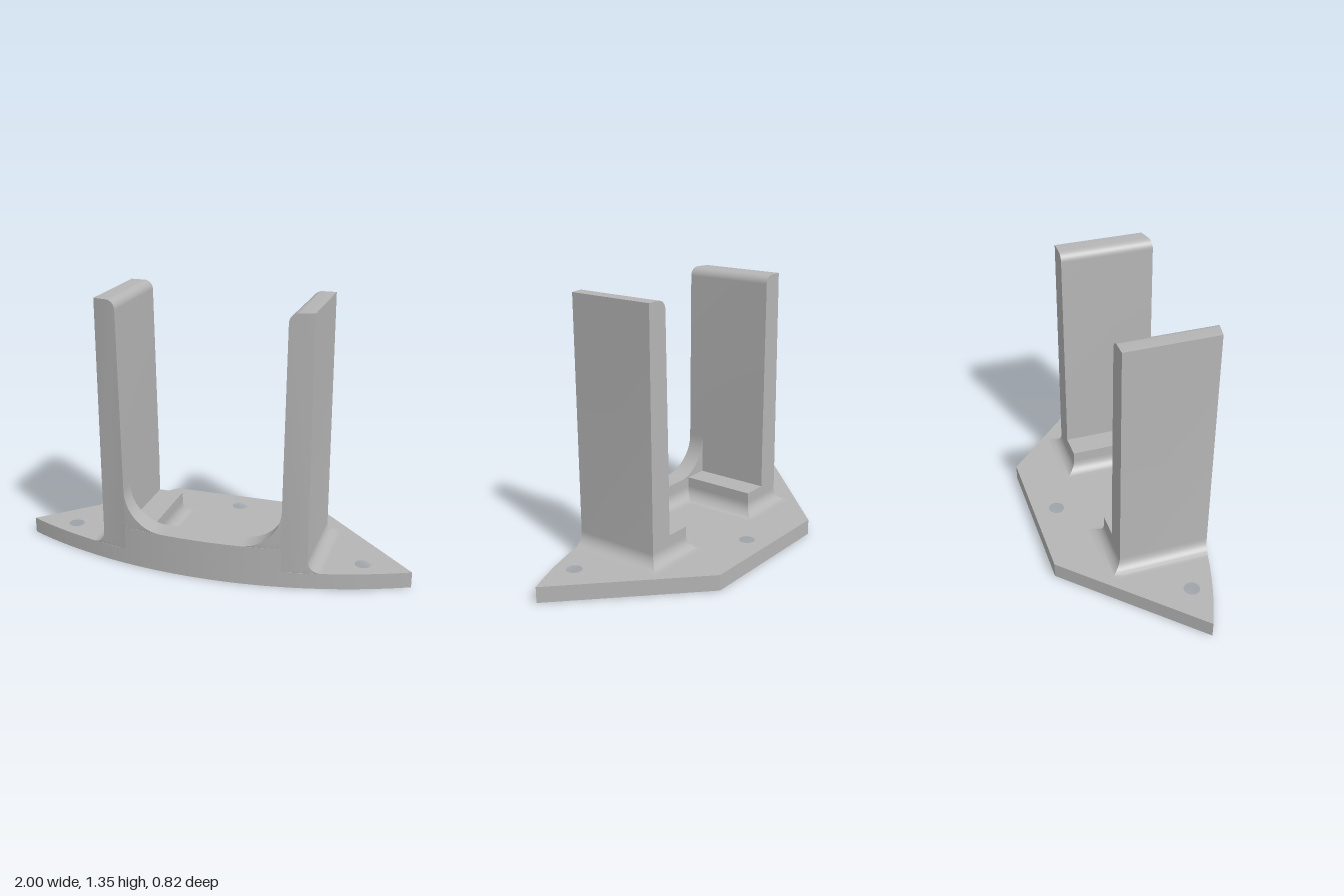
import * as THREE from 'three';
import { toCreasedNormals } from 'three/addons/utils/BufferGeometryUtils.js';

const BASE_H = 0.08, STEP_H = 0.2, TOP = 1.345;
const BACK = -0.11, WALL = 0.29;              // rear of the posts, rear of the front wall
const OUT = 0.525, IN = 0.4, STEP_X = 0.27;   // post and step faces
const FILLET = 0.065;

// Curved front edge: z as a function of x
const RADIUS = 2.38;
const arcZ = (x) => 0.41 - RADIUS + Math.sqrt(RADIUS * RADIUS - x * x);

// Points of a circular arc
function arc(cx, cy, r, from, to, n = 12) {
  return Array.from({ length: n + 1 }, (_, i) => {
    const a = from + ((to - from) * i) / n;
    return new THREE.Vector2(cx + r * Math.cos(a), cy + r * Math.sin(a));
  });
}

// Points along the curved front between -half and half
function frontEdge(half, n) {
  return Array.from({ length: n + 1 }, (_, i) => {
    const x = -half + (2 * half * i) / n;
    return new THREE.Vector2(x, arcZ(x));
  });
}

// Plan outline (x, z) raised from y0 to y1
function planSolid(shape, y0, y1) {
  const g = new THREE.ExtrudeGeometry(shape, { depth: y1 - y0, bevelEnabled: false, curveSegments: 24 });
  g.rotateX(Math.PI / 2);
  g.translate(0, y1, 0);
  return toCreasedNormals(g, 0.5);
}

// Front outline (x, y) running from z = back to the curved front
function frontSolid(points, side, back) {
  const shape = new THREE.Shape(points.map((p) => new THREE.Vector2(p.x * side, p.y)));
  const g = new THREE.ExtrudeGeometry(shape, { depth: 1, bevelEnabled: false });
  const pos = g.attributes.position;
  for (let i = 0; i < pos.count; i++) {
    pos.setZ(i, pos.getZ(i) > 0.5 ? arcZ(pos.getX(i)) : back);
  }
  return toCreasedNormals(g, 0.5);
}

// Concave fillet swept around the foot of the posts, steps and wall, with mitred corners
function filletSweep() {
  const half = [
    [OUT, BACK, 1, 0], [OUT, BACK, 1, -1], [STEP_X, BACK, -1, -1], [STEP_X, WALL, -1, -1],
  ];
  const path = [...half, ...half.slice().reverse().map(([x, z, dx, dz]) => [-x, z, -dx, dz])];
  const steps = 10, verts = [];
  const point = ([x, z, dx, dz], j) => {
    const t = (j / steps) * Math.PI / 2;
    const off = FILLET * (1 - Math.cos(t));
    return [x + dx * off, BASE_H + FILLET * (1 - Math.sin(t)), z + dz * off];
  };
  for (let i = 0; i < path.length - 1; i++) {
    for (let j = 0; j < steps; j++) {
      const a0 = point(path[i], j), a1 = point(path[i], j + 1);
      const b0 = point(path[i + 1], j), b1 = point(path[i + 1], j + 1);
      verts.push(...a0, ...a1, ...b1, ...a0, ...b1, ...b0);
    }
  }
  const g = new THREE.BufferGeometry();
  g.setAttribute('position', new THREE.Float32BufferAttribute(verts, 3));
  return toCreasedNormals(g, 0.5);
}

export function createModel() {
  const model = new THREE.Group();
  model.name = 'bracket';
  const grey = new THREE.MeshStandardMaterial({ color: 0xb5b5b5 });
  grey.name = 'plain grey';
  const add = (name, geometry) => {
    const mesh = new THREE.Mesh(geometry, grey);
    mesh.name = name;
    model.add(mesh);
    return mesh;
  };
  const V = (x, y) => new THREE.Vector2(x, y);

  // Base plate with three screw holes
  const plate = new THREE.Shape([...frontEdge(1, 80), V(0.4, -0.41), V(-0.4, -0.41)]);
  for (const [x, z] of [[-0.762, 0.178], [0.762, 0.178], [0, -0.288]]) {
    plate.holes.push(new THREE.Path().absarc(x, z, 0.04, 0, Math.PI * 2, true));
  }
  add('basePlate', planSolid(plate, 0, BASE_H));

  // Low curved wall joining the posts
  const wall = new THREE.Shape([...frontEdge(IN, 32), V(IN, WALL), V(-IN, WALL)]);
  add('frontWall', planSolid(wall, BASE_H, STEP_H));

  // Post outline with rounded inner top and filleted outer foot
  const postOutline = [
    V(IN, BASE_H), V(IN, 0.4), V(0.412, TOP - 0.05),
    ...arc(0.457, TOP - 0.045, 0.045, Math.PI, Math.PI / 2, 8),
    V(OUT, TOP),
    ...arc(OUT + FILLET, BASE_H + FILLET, FILLET, Math.PI, Math.PI * 1.5, 10),
  ];
  // Quarter-round gusset between wall and post
  const gussetOutline = [V(IN, STEP_H), ...arc(0.2, 0.4, 0.2, 0, -Math.PI / 2, 20)];

  for (const [side, label] of [[1, 'left'], [-1, 'right']]) {
    add(label + 'Post', frontSolid(postOutline, side, BACK));
    add(label + 'Gusset', frontSolid(gussetOutline, side, WALL));
    const step = add(label + 'Step',
      new THREE.BoxGeometry(IN - STEP_X, STEP_H - BASE_H, WALL - BACK));
    step.position.set(side * (IN + STEP_X) / 2, (STEP_H + BASE_H) / 2, (WALL + BACK) / 2);
  }

  add('footFillet', filletSweep());
  return model;
}
